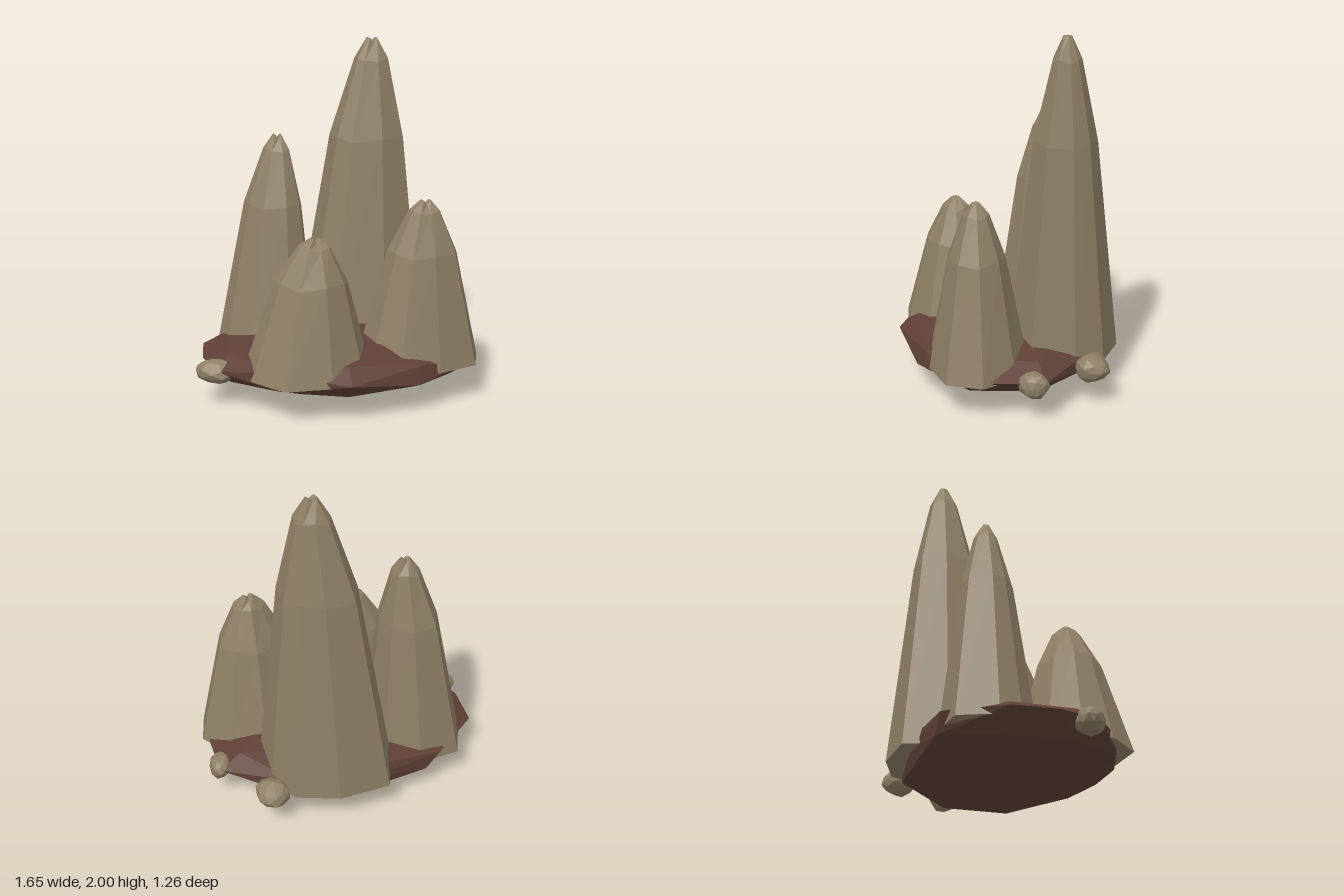
import * as THREE from 'three';

const stone = new THREE.MeshStandardMaterial({ color: 0x8e7f65, flatShading: true });
stone.name = 'tan stone';
const earth = new THREE.MeshStandardMaterial({ color: 0x5f4037, flatShading: true });
earth.name = 'red brown earth';

function soup(points) {
  const g = new THREE.BufferGeometry();
  g.setAttribute('position', new THREE.Float32BufferAttribute(points.flat(), 3));
  g.computeVertexNormals();
  return g;
}

// Faceted spire: a plan outline narrows towards the tip, ending in a notched, sunken rim
function spireGeometry(outline, [tipX, tipZ], top) {
  const bottom = 0.2, n = outline.length;
  const mid = (axis) => {
    const v = outline.map((p) => p[axis]);
    return (Math.min(...v) + Math.max(...v)) / 2;
  };
  const cx = mid(0), cz = mid(1);
  // [height fraction, width factor, shift of the axis towards the tip]
  const levels = [[0, 1, 0], [0.68, 0.565, 0.6], [0.93, 0.255, 0.95], [1, 0.08, 1]];
  const rings = levels.map(([h, s, m], level) => outline.map(([x, z], k) => {
    const wobble = level === 0 ? 0 : level === 3 ? (k % 4 === 2 ? -0.025 : 0) : 0.012 * Math.sin(k * 2.4 + level);
    return [
      cx + (tipX - cx) * m + (x - cx) * s,
      bottom + (top - bottom) * h + wobble,
      cz + (tipZ - cz) * m + (z - cz) * s,
    ];
  }));
  const tris = [];
  for (let k = 0; k < n; k++) {
    const j = (k + 1) % n;
    for (let i = 0; i < 3; i++) {
      const a = rings[i][k], b = rings[i][j], c = rings[i + 1][k], d = rings[i + 1][j];
      tris.push(b, a, c, b, c, d);
    }
    tris.push(rings[3][j], rings[3][k], [tipX, top - 0.015, tipZ]);
    tris.push(rings[0][k], rings[0][j], [cx, bottom, cz]);
  }
  return soup(tris);
}

// Moves every vertex of a faceted ball by a rule
function shapedBall(rule) {
  const g = new THREE.IcosahedronGeometry(1, 1);
  const p = g.attributes.position;
  const v = new THREE.Vector3();
  for (let i = 0; i < p.count; i++) {
    v.fromBufferAttribute(p, i);
    p.setXYZ(i, ...rule(v));
  }
  g.computeVertexNormals();
  return g;
}

// Irregular outline points of the mound: direction, then plan position
const moundCorners = [
  [[-0.851, 0, -0.526], [-0.78, -0.2]],
  [[-1, 0, 0], [-0.79, 0.05]],
  [[-0.851, 0, 0.526], [-0.72, 0.29]],
  [[0, 0, 1], [0, 0.63]],
  [[0.5, 0.309, 0.809], [0.43, 0.45]],
  [[0.851, 0, 0.526], [0.72, 0.29]],
  [[1, 0, 0], [0.77, 0.05]],
  [[0.851, 0, -0.526], [0.77, -0.22]],
  [[0, 0, -1], [0, -0.54]],
  [[-0.5, 0.309, -0.809], [-0.48, -0.49]],
  [[0.526, -0.851, 0], [0.34, 0.02]],
  [[-0.526, -0.851, 0], [-0.44, 0]],
].map(([d, to]) => [new THREE.Vector3(...d), to]);

// Low dome above, shallow keel below
function moundRule(v) {
  const hit = moundCorners.find(([d]) => d.distanceTo(v) < 0.05);
  const [x, z] = hit ? hit[1] : [v.x * 0.79, v.z * 0.61];
  const zz = v.z * v.z;
  const height = v.y > 0 ? 0.15 : 0.22 * (1 - 0.8 * zz * (1 - zz));
  return [x, 0.22 + v.y * height, z];
}

export function createModel() {
  const model = new THREE.Group();
  model.name = 'rockSpires';
  const add = (name, geometry, material) => {
    const mesh = new THREE.Mesh(geometry, material);
    mesh.name = name;
    model.add(mesh);
    return mesh;
  };

  // Ground mound
  add('mound', shapedBall(moundRule), earth);

  // Spires: outline runs left, back, right, front
  add('tallSpire', spireGeometry([
    [-0.22, -0.38], [-0.13, -0.61], [0.17, -0.635], [0.41, -0.55], [0.51, -0.39],
    [0.515, -0.14], [0.28, -0.005], [-0.03, -0.03], [-0.17, -0.13],
  ], [0.235, -0.33], 2), stone);
  add('backRightSpire', spireGeometry([
    [-0.695, -0.235], [-0.61, -0.445], [-0.37, -0.475], [-0.17, -0.38],
    [-0.11, -0.17], [-0.14, -0.02], [-0.28, 0.07], [-0.51, 0.02], [-0.65, -0.1],
  ], [-0.33, -0.215], 1.465), stone);
  add('frontLeftSpire', spireGeometry([
    [0.09, 0.12], [0.21, -0.04], [0.46, -0.13], [0.67, -0.065], [0.8, 0.11],
    [0.75, 0.31], [0.53, 0.415], [0.3, 0.43], [0.15, 0.29],
  ], [0.475, 0.155], 1.14), stone);
  add('frontRightSpire', spireGeometry([
    [-0.57, 0.25], [-0.43, 0.095], [-0.18, 0.005], [0.06, 0.095], [0.15, 0.28],
    [0.09, 0.46], [-0.1, 0.59], [-0.36, 0.61], [-0.53, 0.43],
  ], [-0.165, 0.3], 0.975), stone);

  // Loose boulders: position, half sizes, turn
  [
    [[-0.72, 0.2, 0.23], [0.115, 0.07, 0.08], -0.4],
    [[0.525, 0.21, -0.48], [0.1, 0.08, 0.1], 0.5],
    [[0.755, 0.208, -0.16], [0.062, 0.075, 0.085], -0.2],
  ].forEach(([position, size, turn], i) => {
    const boulder = add('boulder' + (i + 1), shapedBall((v) => {
      const k = 1 + 0.07 * Math.sin(v.x * 5 + v.y * 7 + v.z * 9 + i * 2);
      return [v.x * k * size[0], v.y * k * size[1], v.z * k * size[2]];
    }), stone);
    boulder.position.set(...position);
    boulder.rotation.y = turn;
  });
  return model;
}
